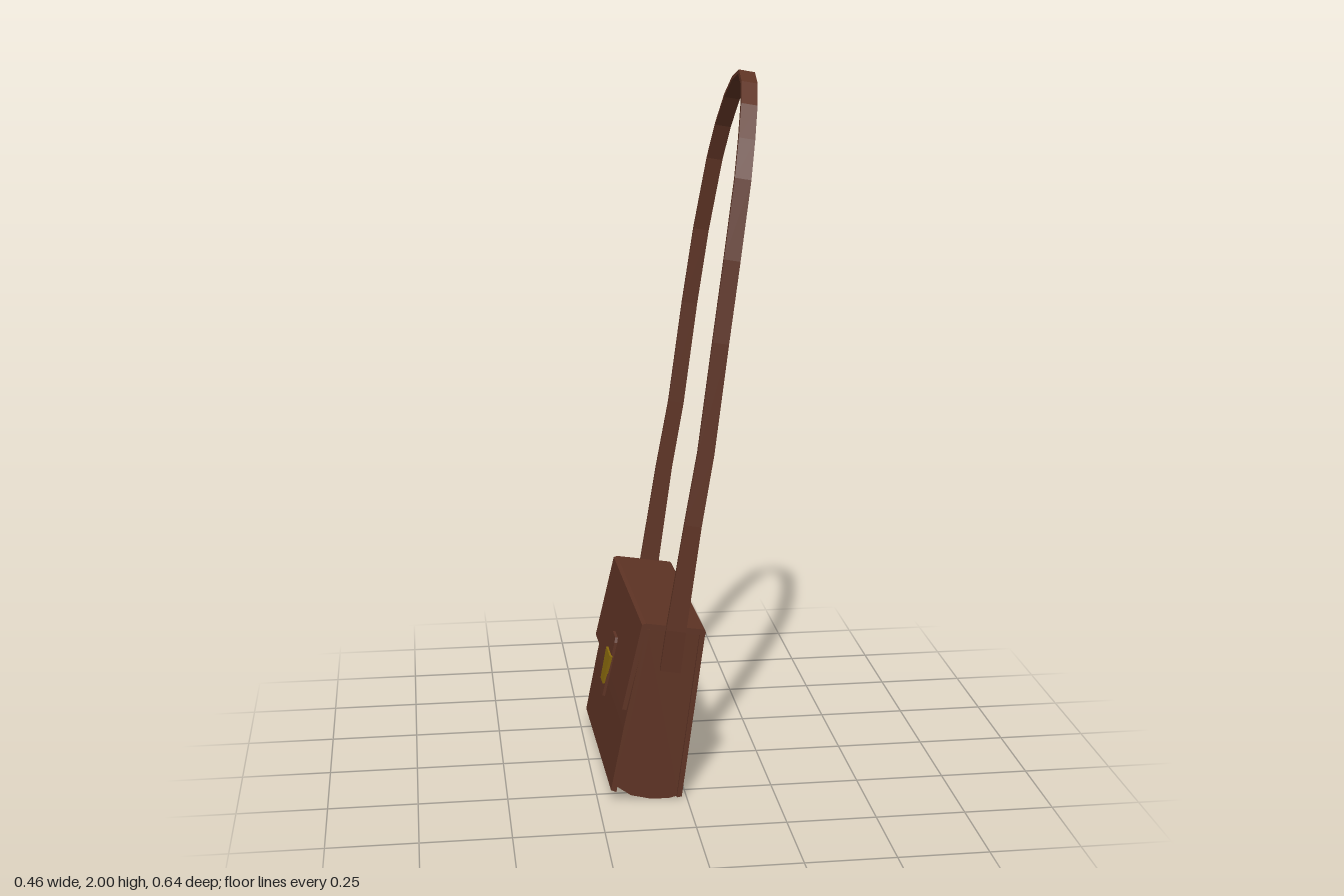
import * as THREE from 'three';

const leather = new THREE.MeshStandardMaterial({ color: 0x5e3324 });
leather.name = 'brownLeather';
const brass = new THREE.MeshStandardMaterial({ color: 0x8a6a0c });
brass.name = 'brass';

// Side profile in x/y, extruded along z and centred on it
function slab(name, pts, width) {
  const shape = new THREE.Shape(pts.map(p => new THREE.Vector2(...p)));
  const geo = new THREE.ExtrudeGeometry(shape, { depth: width, bevelEnabled: false });
  geo.translate(0, 0, -width / 2);
  const mesh = new THREE.Mesh(geo, leather);
  mesh.name = name;
  return mesh;
}

// Thin plate drawn in its own plane, later laid on the front of the bag
function plate(name, pts, thick, material) {
  const shape = new THREE.Shape(pts.map(p => new THREE.Vector2(...p)));
  const mesh = new THREE.Mesh(new THREE.ExtrudeGeometry(shape, { depth: thick, bevelEnabled: false }), material);
  mesh.name = name;
  return mesh;
}

// Flat strap: a rectangular section swept along a path of [x, y, z, width]
function ribbon(name, path, thick) {
  const across = new THREE.Vector3(0.985, -0.17, 0).normalize();
  const pts = path.map(p => new THREE.Vector3(p[0], p[1], p[2]));
  const rings = pts.map((p, i) => {
    const t = pts[Math.min(i + 1, pts.length - 1)].clone().sub(pts[Math.max(i - 1, 0)]).normalize();
    const n = t.cross(across).normalize();
    return [[1, 1], [-1, 1], [-1, -1], [1, -1]].map(([a, b]) =>
      p.clone().addScaledVector(across, a * path[i][3] / 2).addScaledVector(n, b * thick / 2));
  });
  const v = [];
  const quad = (a, b, c, d) => [a, b, c, a, c, d].forEach(q => v.push(q.x, q.y, q.z));
  for (let i = 0; i + 1 < rings.length; i++) {
    for (let k = 0; k < 4; k++) {
      const m = (k + 1) % 4;
      quad(rings[i][k], rings[i][m], rings[i + 1][m], rings[i + 1][k]);
    }
  }
  const s = rings[0], e = rings[rings.length - 1];
  quad(s[0], s[3], s[2], s[1]);
  quad(e[0], e[1], e[2], e[3]);
  const geo = new THREE.BufferGeometry();
  geo.setAttribute('position', new THREE.Float32BufferAttribute(v, 3));
  geo.computeVertexNormals();
  const mesh = new THREE.Mesh(geo, leather);
  mesh.name = name;
  return mesh;
}

export function createModel() {
  const model = new THREE.Group();
  model.name = 'shoulderBag';

  // Bag body, turned slightly about the vertical
  const bag = new THREE.Group();
  bag.name = 'bag';
  bag.rotation.y = 0.024;
  model.add(bag);

  // Inset gusset with a sagging bottom
  bag.add(slab('gusset', [
    [-0.205, 0.045], [-0.165, 0.016], [-0.11, 0.002], [-0.06, 0], [-0.03, 0.006],
    [0.033, 0.49], [-0.118, 0.512], [-0.176, 0.25],
  ], 0.6));

  // Outer leather panels
  bag.add(slab('backPanel', [[-0.036, 0.004], [-0.022, 0.006], [0.044, 0.494], [0.03, 0.497]], 0.616));
  bag.add(slab('frontPanel', [
    [-0.222, 0.038], [-0.207, 0.032], [-0.172, 0.22], [-0.11, 0.505], [-0.122, 0.508], [-0.186, 0.22],
  ], 0.616));

  // Flap over the top and down the front
  bag.add(slab('flap', [
    [-0.19, 0.278], [-0.178, 0.276], [-0.12, 0.509], [0.042, 0.481], [0.045, 0.49],
    [0.04, 0.499], [-0.122, 0.525], [-0.133, 0.522],
  ], 0.62));

  // Clasp, laid on the sloping front face
  const clasp = new THREE.Group();
  clasp.name = 'clasp';
  clasp.position.set(-0.188, 0.285, 0.005);
  clasp.rotation.set(0, -Math.PI / 2, 0);
  const tilt = new THREE.Group();
  tilt.name = 'claspPlates';
  tilt.rotation.x = -0.22;
  clasp.add(tilt);
  tilt.add(plate('claspTab', [
    [-0.03, -0.075], [0.03, -0.075], [0.034, 0.09], [0.028, 0.105], [-0.028, 0.105], [-0.034, 0.09],
  ], 0.008, leather));
  const buckle = plate('buckle', [[-0.025, -0.04], [0.025, -0.04], [0.043, 0.05], [-0.043, 0.05]], 0.008, brass);
  buckle.position.z = 0.006;
  tilt.add(buckle);
  bag.add(clasp);

  // One half of the strap, from its sewn end up towards the top
  const half = [
    [-0.047, 0.38, 0.305, 0.058], [-0.032, 0.5, 0.312, 0.056], [0.014, 0.8, 0.313, 0.048],
    [0.05, 1.0, 0.308, 0.046], [0.09, 1.3, 0.302, 0.045], [0.122, 1.52, 0.288, 0.045],
    [0.156, 1.73, 0.25, 0.045], [0.173, 1.83, 0.205, 0.045], [0.189, 1.914, 0.145, 0.045],
    [0.2, 1.966, 0.08, 0.045],
  ];
  const skew = (p, side) => [p[0], p[1], side * p[2] - 0.012 * Math.max(0, p[1] - 0.8), p[3]];
  const path = [
    ...half.map(p => skew(p, 1)),
    skew([0.206, 1.99, 0, 0.045], 1),
    ...half.map(p => skew(p, -1)).reverse(),
  ];
  model.add(ribbon('shoulderStrap', path, 0.012));

  return model;
}
